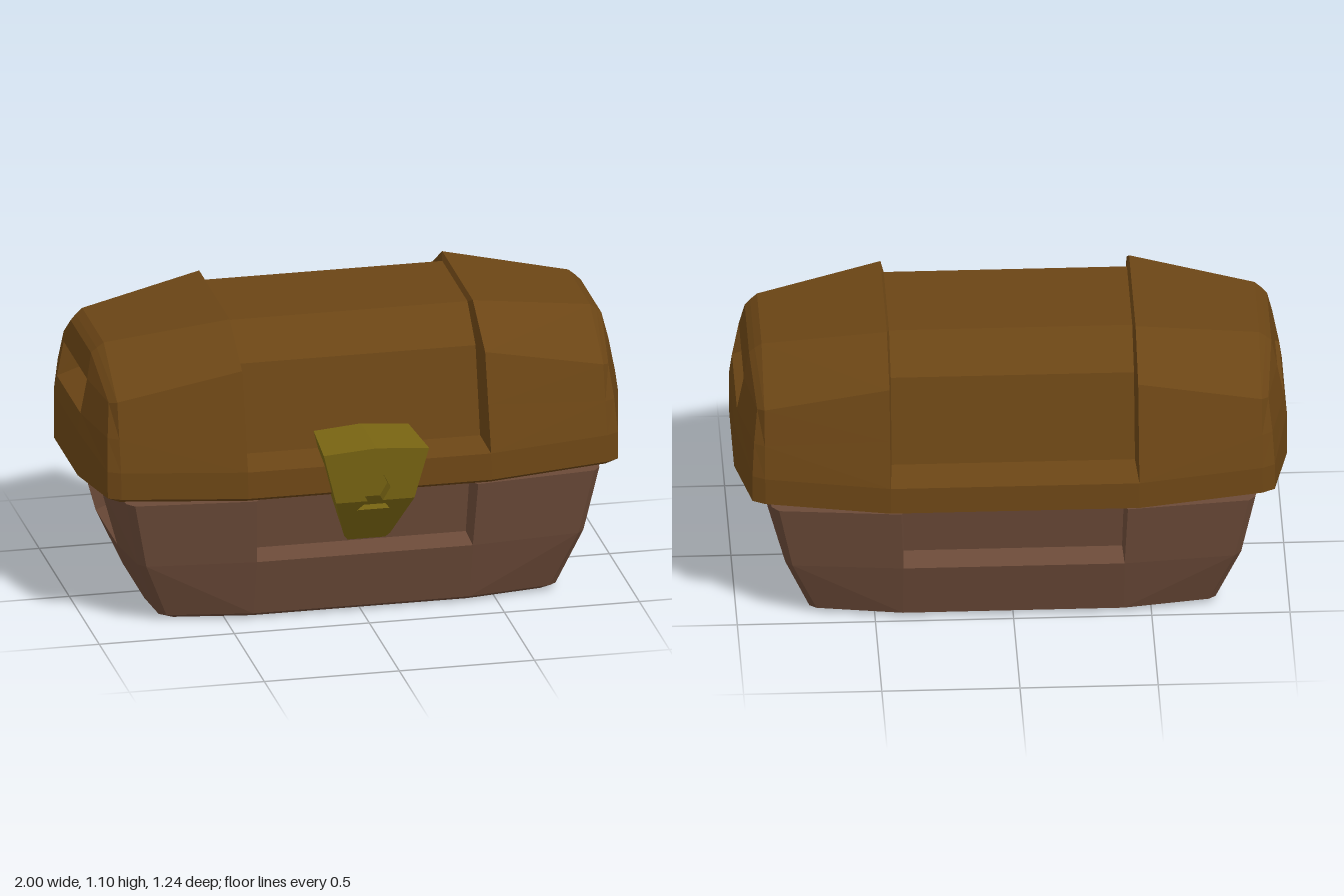
import * as THREE from 'three';

// Collects flat-shaded faces of one sector, then mirrors them into a mesh.
function faceBuilder() {
  const tris = [];
  const tri = (a, b, c) => tris.push([a, b, c]);
  const quad = (a, b, c, d) => { tri(a, b, c); tri(a, c, d); };
  // columns run left to right seen from outside, points run bottom to top
  const loft = (...cols) => {
    for (let i = 0; i + 1 < cols.length; i++)
      for (let j = 0; j + 1 < cols[i].length; j++)
        quad(cols[i][j], cols[i + 1][j], cols[i + 1][j + 1], cols[i][j + 1]);
  };
  // flat polygon given counter-clockwise in x, y with z from a function
  const plate = (pts, zAt) => {
    const v = pts.map(([x, y]) => new THREE.Vector2(x, y));
    const p = pts.map(([x, y]) => [x, y, zAt(y)]);
    for (const [a, b, c] of THREE.ShapeUtils.triangulateShape(v, [])) tri(p[a], p[b], p[c]);
  };
  // horizontal cap fanned from the centre
  const cap = (pts, y, up) => {
    const o = [0, y, 0];
    for (let i = 0; i + 1 < pts.length; i++)
      up ? tri(o, pts[i], pts[i + 1]) : tri(o, pts[i + 1], pts[i]);
  };
  const mesh = (name, color, zSigns) => {
    const pos = [];
    for (const sx of [1, -1]) for (const sz of zSigns)
      for (const t of tris)
        for (const p of (sx * sz > 0 ? t : [t[0], t[2], t[1]])) pos.push(p[0] * sx, p[1], p[2] * sz);
    const g = new THREE.BufferGeometry();
    g.setAttribute('position', new THREE.Float32BufferAttribute(pos, 3));
    g.computeVertexNormals();
    const m = new THREE.Mesh(g, new THREE.MeshStandardMaterial({ color, flatShading: true }));
    m.name = name;
    return m;
  };
  return { quad, loft, plate, cap, mesh };
}

const atX0 = (col) => col.map(([, y, z]) => [0, y, z]);
const atZ0 = (col) => col.map(([x, y]) => [x, y, 0]);

// Domed lid: a quarter, with the sunken middle panel and the end grip slot
function createLid() {
  const f = faceBuilder();
  const A = [[.45, .5, .53], [.45, .52, .565], [.45, .62, .56], [.45, .79, .512], [.45, .975, .46], [.45, 1.1, .255], [.45, 1.1, 0]];
  const B = [[.9, .5, .44], [.9, .52, .475], [.9, .62, .47], [.9, .74, .44], [.9, .87, .405], [.9, 1.02, .18], [.9, 1.02, 0]];
  const C = [[.91, .5, .41], [.945, .52, .45], [.945, .62, .445], [.938, .74, .415], [.925, .86, .375], [.925, 1, .175], [.925, 1, 0]];
  const D = [[.96, .5, .19], [1, .52, .195], [1, .69, .195], [.99, .76, .195], [.965, .89, .195], [.945, .98, .17], [.945, .98, 0]];
  f.loft(A, B, C, D);
  // front rim below the panel
  const rim = A.slice(0, 3);
  f.loft(atX0(rim), rim);
  // sunken panel, its ledge and its step
  const inner = [[.44, .64, .42], [.44, .96, .345], [.44, 1.08, .21], [.44, 1.08, 0]];
  const panel = [A[2], ...inner];
  f.loft(atX0(panel), panel);
  f.loft(inner, [A[2], A[4], A[5], A[6]]);
  // end face around the grip slot
  for (const part of [D.slice(0, 4), D.slice(4, 6)]) f.loft(part, atZ0(part));
  const slot = [D[3], [.88, .8, .19], [.88, .89, .19], D[4]];
  f.loft(slot, atZ0(slot));
  f.quad(...slot);
  // underside
  const D0 = D[0];
  f.cap([[0, .5, .53], A[0], B[0], C[0], D0, [D0[0], .5, 0]], .5, false);
  return f.mesh('lid', 0x6b4515, [1, -1]);
}

// Tapered box: a quarter, with recesses in the long sides and the ends
function createBase() {
  const f = faceBuilder();
  const A = [[.4, 0, .385], [.4, .02, .42], [.4, .24, .48], [.41, .492, .525]];
  const B = [[.68, 0, .34], [.71, .02, .37], [.8, .24, .44], [.85, .492, .48]];
  const C = [[.695, 0, .32], [.735, .02, .35], [.825, .24, .41], [.875, .492, .45]];
  const D = [[.71, 0, .17], [.75, .02, .18], [.85, .235, .18], [.92, .492, .18]];
  f.loft(A, B, C, D);
  const low = A.slice(0, 3), endLow = D.slice(0, 3);
  f.loft(atX0(low), low);
  f.loft(endLow, atZ0(endLow));
  // long side recess
  const side = [A[2], [.395, .26, .385], [.4, .492, .425]];
  f.loft(atX0(side), side);
  f.quad(side[1], A[2], A[3], side[2]);
  // end recess
  const end = [D[2], [.74, .28, .18], [.78, .492, .18]];
  f.loft(end, atZ0(end));
  f.quad(...end, D[3]);
  // floor and top
  f.cap([[0, 0, .385], A[0], B[0], C[0], D[0], [.71, 0, 0]], 0, false);
  f.cap([[0, .492, .425], side[2], A[3], B[3], C[3], D[3], end[2], [.78, .492, 0]], .492, true);
  return f.mesh('base', 0x6b4a38, [1, -1]);
}

// Bent hasp with a keyhole: one half, mirrored across x
function createLatch() {
  const f = faceBuilder();
  const front = (y) => (y >= .51 ? .6 + (y - .51) * .1 : .6 - (.51 - y) * .75);
  const sunk = (y) => front(y) - .05;
  f.plate([[0, .61], [.03, .61], [.055, .56], [.028, .51], [.145, .51], [.195, .705], [0, .72]], front);
  f.plate([[0, .465], [0, .31], [.07, .31], [.085, .33], [.145, .51], [.028, .51], [.06, .465]], front);
  // keyhole walls and bottom
  const key = [[0, .61], [.03, .61], [.055, .56], [.028, .51], [.06, .465], [0, .465]];
  const on = ([x, y], zAt) => [x, y, zAt(y)];
  for (let i = 0; i + 1 < key.length; i++) {
    const p = key[i], q = key[i + 1];
    f.quad(on(p, front), on(p, sunk), on(q, sunk), on(q, front));
  }
  f.plate([[0, .51], [.028, .51], [.055, .56], [.03, .61], [0, .61]], sunk);
  f.plate([[0, .465], [.06, .465], [.028, .51], [0, .51]], sunk);
  // sides, back, top and bottom
  const edge = [[.07, .31], [.085, .33], [.145, .51], [.195, .705]].map((p) => on(p, front));
  const backZ = [.41, .4, .38, .36];
  const back = edge.map(([x, y], i) => [x * .9, y, backZ[i]]);
  f.loft(edge, back, atX0(back));
  f.quad([0, .72, front(.72)], edge[3], back[3], [0, .72, .36]);
  f.quad([0, .31, .41], back[0], edge[0], [0, .31, front(.31)]);
  return f.mesh('latch', 0x786412, [1]);
}

export function createModel() {
  const model = new THREE.Group();
  model.name = 'chest';
  const lid = createLid(), base = createBase();
  lid.position.z = base.position.z = -.055;
  model.add(lid, base, createLatch());
  return model;
}
